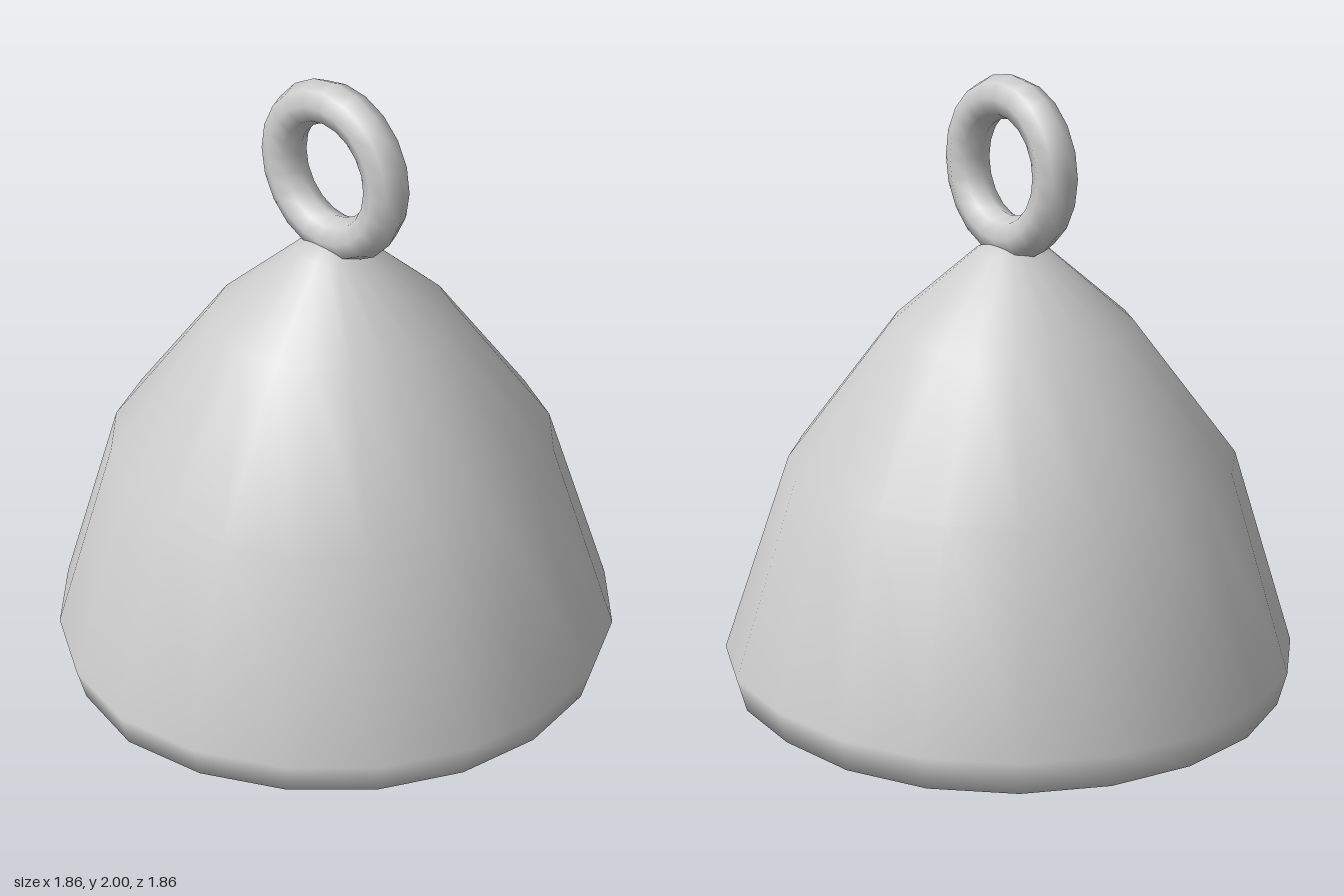
import * as THREE from 'three';

const SIDES = 20;

// Bell wall in one closed profile: inner wall downward, rim, outer wall upward
const WALL = [
  [0, 1.39], [0.08, 1.37], [0.33, 1.16], [0.645, 0.74], [0.835, 0.11], [0.83, 0.01],
  [0.9, 0], [0.93, 0.11], [0.72, 0.765], [0.385, 1.21], [0.115, 1.445], [0.04, 1.475], [0, 1.478],
];

// Revolves the profile; the outline is very slightly skewed toward the back
function wallGeometry() {
  const geo = new THREE.LatheGeometry(WALL.map(([r, y]) => new THREE.Vector2(r, y)), SIDES);
  const pos = geo.attributes.position;
  for (let i = 0; i < pos.count; i++) {
    const x = pos.getX(i), y = pos.getY(i), z = pos.getZ(i);
    const low = THREE.MathUtils.clamp(1 - (y - 0.11) / 0.65, 0, 1);
    const shift = 0.025 * Math.min(1, Math.abs(x) / 0.6) * low + 0.013 * (1 - low);
    pos.setXYZ(i, x * (1 - 0.015 * z * low), y, z - shift);
  }
  return geo;
}

export function createModel() {
  const bell = new THREE.Group();
  bell.name = 'bell';
  const metal = new THREE.MeshStandardMaterial({ color: 0xcccccc });
  metal.name = 'light grey metal';

  const add = (name, geo, x, y, z) => {
    const mesh = new THREE.Mesh(geo, metal);
    mesh.name = name;
    mesh.position.set(x, y, z);
    bell.add(mesh);
  };

  // Hollow bell body
  add('bellBody', wallGeometry(), 0, 0, 0);

  // Hanging ring on top
  add('hangingRing', new THREE.TorusGeometry(0.223, 0.07, 8, 20), 0, 1.707, -0.02);

  // Clapper: thin rod with a coarse ball
  add('clapperRod', new THREE.CylinderGeometry(0.035, 0.035, 1.0, 8), 0, 0.89, -0.015);
  add('clapperBall', new THREE.SphereGeometry(0.147, 6, 4), 0, 0.295, -0.015);

  return bell;
}
